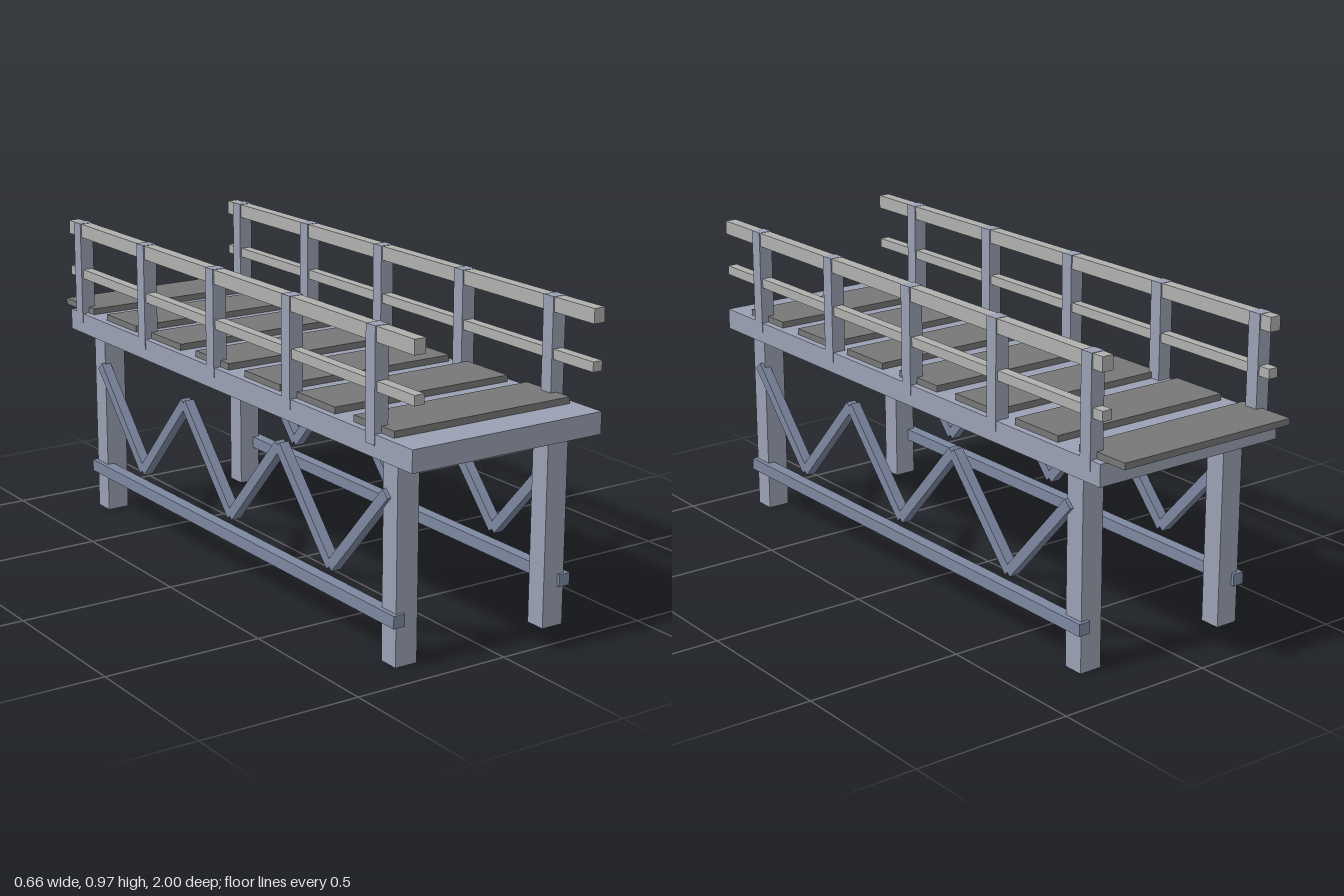
import * as THREE from 'three';

const mat = (color) => new THREE.MeshStandardMaterial({ color, flatShading: true });

export function createModel() {
  const model = new THREE.Group();
  model.name = 'footbridge';
  const frame = mat(0x9aa1b3), brace = mat(0x7c879f), wood = mat(0x777777), rail = mat(0xb0b0ae);

  // Box spanning the given ranges
  const box = (name, material, [x0, x1], [y0, y1], [z0, z1], parent = model) => {
    const mesh = new THREE.Mesh(new THREE.BoxGeometry(x1 - x0, y1 - y0, z1 - z0), material);
    mesh.position.set((x0 + x1) / 2, (y0 + y1) / 2, (z0 + z1) / 2);
    mesh.name = name;
    parent.add(mesh);
    return mesh;
  };

  // Deck slab and the spaced planks lying on it
  box('deck', frame, [-0.33, 0.33], [0.6, 0.667], [-0.925, 1]);
  for (let i = 0; i < 7; i++) {
    const z = -0.904 + i * 0.2827;
    box('plank', wood, [-0.308, 0.308], [0.667, 0.687], [z - 0.096, z + 0.096]);
  }

  for (const side of [1, -1]) {
    const group = new THREE.Group();
    group.name = side > 0 ? 'leftSide' : 'rightSide';
    model.add(group);
    const part = (name, material, [a, b], y, z) =>
      box(name, material, side > 0 ? [a, b] : [-b, -a], y, z, group);

    // Legs
    part('frontLeg', frame, [0.227, 0.3], [0, 0.6], [0.828, 0.895]);
    part('backLeg', frame, [0.227, 0.3], [0, 0.6], [-0.82, -0.752]);

    // Railing
    part('topRail', rail, [0.29, 0.328], [0.925, 0.969], [-0.925, 1]);
    part('midRail', rail, [0.292, 0.325], [0.786, 0.816], [-0.925, 1]);
    for (let i = 0; i < 5; i++) {
      const z = 0.807 - i * 0.4175;
      part('railPost', frame, [0.286, 0.332], [0.635, 0.97], [z - 0.022, z + 0.022]);
    }

    // Long lower beam
    part('lowerBeam', brace, [0.277, 0.315], [0.122, 0.16], [-0.83, 0.905]);

    // Zigzag bracing between the legs
    const top = 0.501, bottom = 0.207, step = 0.27;
    for (let i = 0; i < 6; i++) {
      const z0 = 0.853 - i * step;
      const rise = (i % 2 ? 1 : -1) * (top - bottom);
      const half = Math.hypot(step, rise) / 2;
      const bar = part('zigzagBrace', brace, [0.28, 0.312], [-0.0165, 0.0165], [-half, half]);
      bar.position.set(side * 0.296, (top + bottom) / 2, z0 - step / 2);
      bar.rotation.x = Math.atan2(rise, step);
    }
  }
  return model;
}
